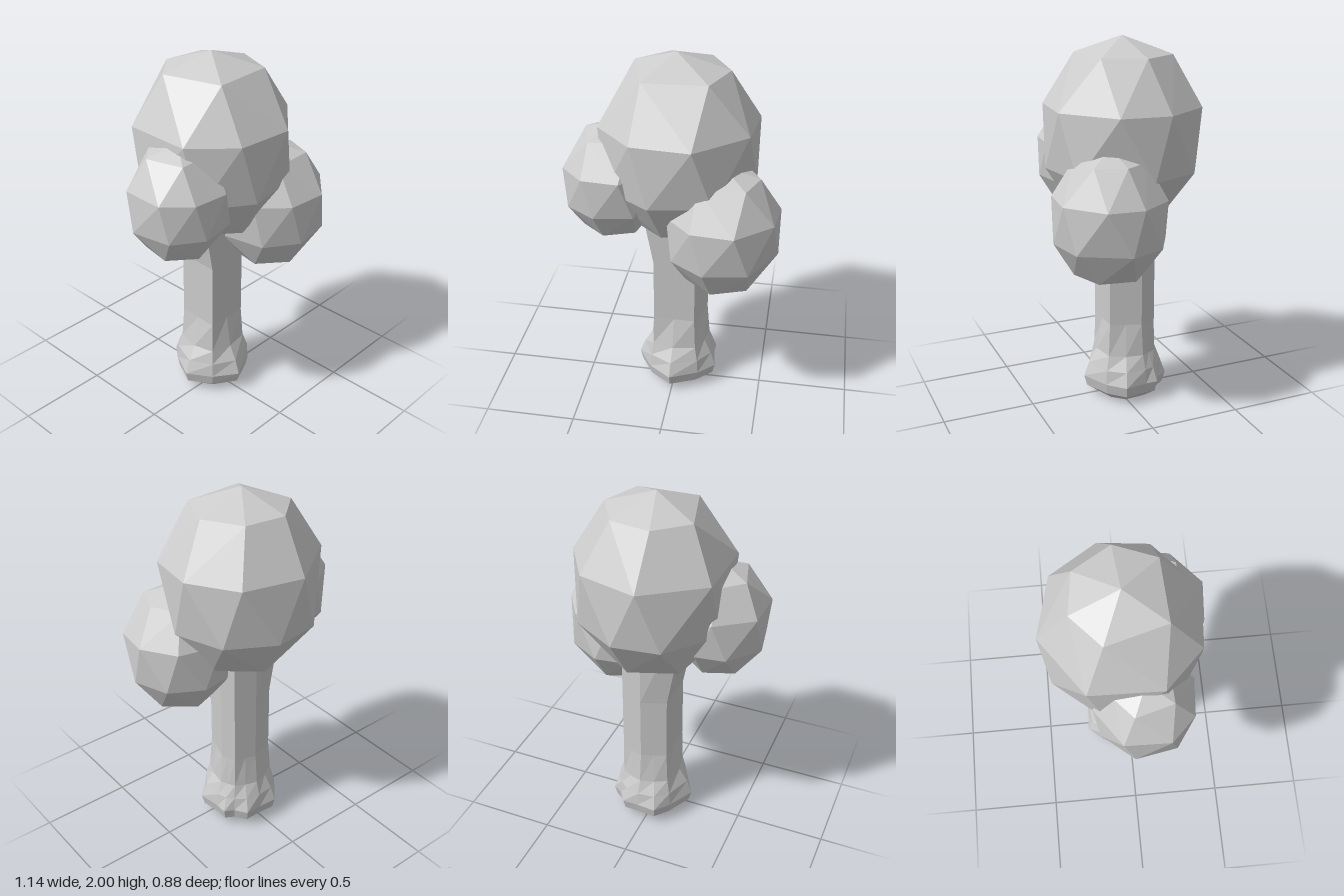
import * as THREE from 'three';
import { ConvexGeometry } from 'three/addons/geometries/ConvexGeometry.js';

const grey = new THREE.MeshStandardMaterial({ color: 0xcccccc });
grey.name = 'plain grey';

// Faceted foliage ball of unit size: rings of [height, radius, angles in degrees] between two poles
function foliageGeometry() {
  const rings = [
    [0.82, 0.62, [5, 57, 107, 157, 234, 312]],
    [0.3, 1.0, [12, 53, 99, 152, 205, 244, 287, 335]],
    [-0.35, 0.98, [0, 40, 80, 116, 165, 215, 257, 303]],
    [-0.82, 0.64, [20, 80, 140, 200, 260, 320]],
  ];
  const points = [new THREE.Vector3(-0.02, 1, 0), new THREE.Vector3(0, -1, 0)];
  for (const [y, r, angles] of rings) {
    for (const deg of angles) {
      const a = THREE.MathUtils.degToRad(deg);
      points.push(new THREE.Vector3(r * Math.cos(a), y, -r * Math.sin(a)));
    }
  }
  return new ConvexGeometry(points);
}

// Trunk: an irregular six-sided column that flares into rounded, notched roots
function trunkGeometry() {
  const corners = [[-0.11, 0.08], [0.12, 0.085], [0.175, -0.08], [0.15, -0.165], [0.03, -0.2], [-0.105, -0.15]];
  const outline = [];
  corners.forEach(([x, z], i) => {
    const [nx, nz] = corners[(i + 1) % corners.length];
    outline.push([x, z], [(x + nx) / 2, (z + nz) / 2]);
  });
  const n = outline.length;
  const cx = 0.018, cz = -0.042;

  // [height, roundness, radius at corners, radius at face middles, lean of the left side]
  const levels = [
    [0.005, 1, 0.145, 0.155, 0],
    [0.05, 1, 0.195, 0.218, 0],
    [0.11, 1, 0.208, 0.234, 0],
    [0.19, 1, 0.2, 0.205, 0],
    [0.27, 0.6, 0.185, 0.18, 0],
    [0.45, 0, 0, 0, 0],
    [0.82, 0, 0, 0, 0],
    [1.15, 0, 0, 0, -0.06],
  ];
  const rings = levels.map(([y, mix, rc, rm, lean]) => outline.map(([x, z], i) => {
    const d = Math.hypot(x - cx, z - cz);
    const r = (i % 2 ? rm : rc) / d;
    const px = THREE.MathUtils.lerp(x, cx + (x - cx) * r, mix);
    const pz = THREE.MathUtils.lerp(z, cz + (z - cz) * r, mix);
    return [px + (x < 0 ? lean : 0), y, pz];
  }));

  const pos = [];
  const tri = (a, b, c) => pos.push(...a, ...b, ...c);
  for (let k = 0; k < rings.length - 1; k++) {
    for (let i = 0; i < n; i++) {
      const j = (i + 1) % n;
      const lo = rings[k], hi = rings[k + 1];
      tri(lo[i], lo[j], hi[j]);
      tri(lo[i], hi[j], hi[i]);
    }
  }
  // closed underside and top
  const last = rings[rings.length - 1];
  for (let i = 0; i < n; i++) {
    const j = (i + 1) % n;
    tri([cx, 0, cz], rings[0][j], rings[0][i]);
    tri([cx, 1.15, cz], last[i], last[j]);
  }
  const geo = new THREE.BufferGeometry();
  geo.setAttribute('position', new THREE.Float32BufferAttribute(pos, 3));
  geo.computeVertexNormals();
  return geo;
}

export function createModel() {
  const tree = new THREE.Group();
  tree.name = 'tree';

  const trunk = new THREE.Mesh(trunkGeometry(), grey);
  trunk.name = 'trunk';
  tree.add(trunk);

  // One large crown and two smaller clumps share the same faceted shape
  const foliage = foliageGeometry();
  const clumps = [
    ['mainCrown', 1, 0.01, 1.495, -0.035],
    ['leftClump', 0.713, 0.27, 1.12, 0.145],
    ['rightClump', 0.63, -0.32, 1.315, 0.05],
  ];
  for (const [name, size, x, y, z] of clumps) {
    const clump = new THREE.Mesh(foliage, grey);
    clump.name = name;
    clump.position.set(x, y, z);
    clump.scale.set(0.425 * size, 0.505 * size, 0.42 * size);
    tree.add(clump);
  }
  return tree;
}
